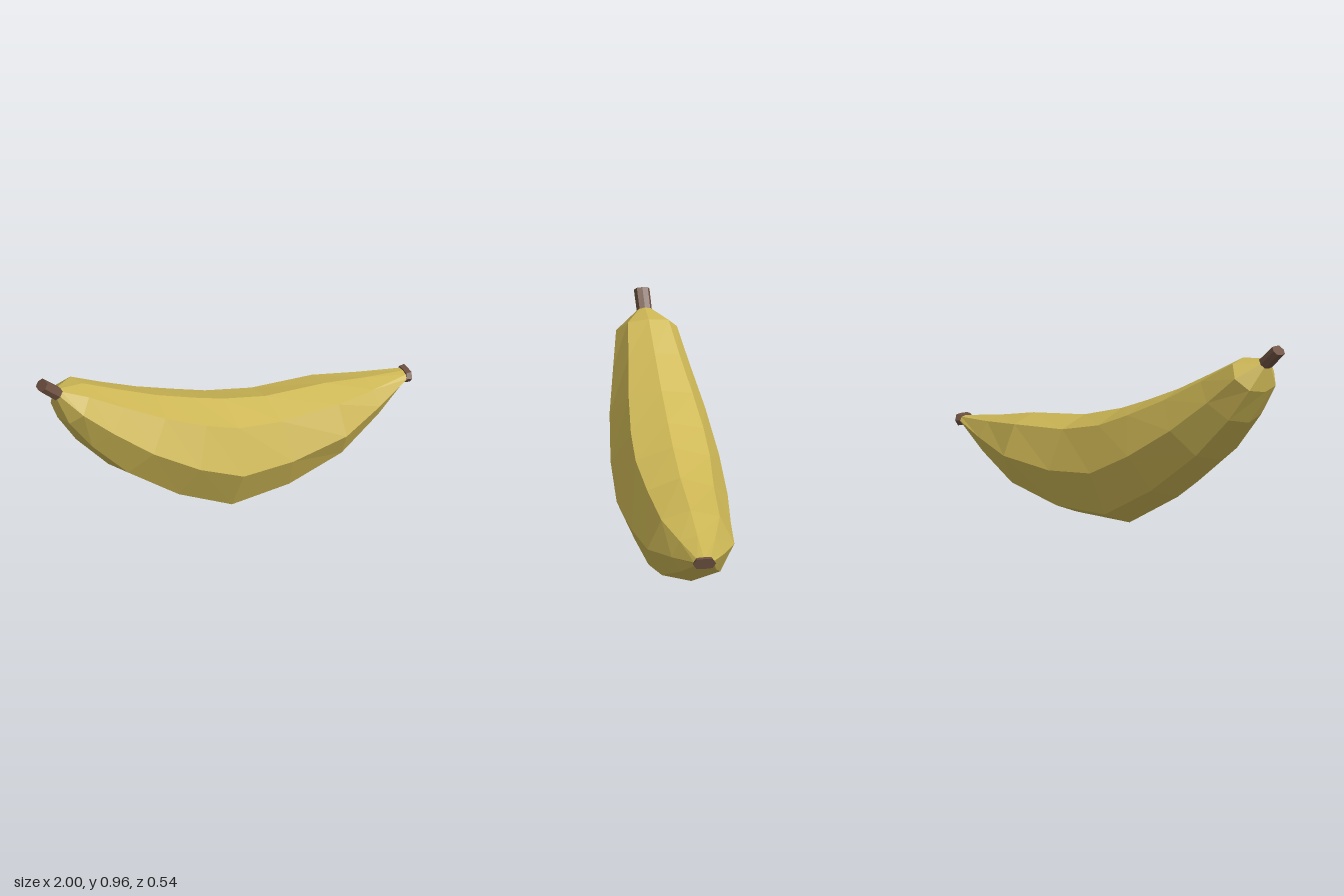
import * as THREE from 'three';

// Section: [top x, top y, bottom x, bottom y, half width]
const PEEL = [
  [-0.88, 0.893, -0.915, 0.85, 0.036],
  [-0.76, 0.885, -0.895, 0.73, 0.148],
  [-0.57, 0.79, -0.795, 0.57, 0.185],
  [-0.36, 0.69, -0.62, 0.37, 0.232],
  [-0.16, 0.612, -0.35, 0.16, 0.264],
  [0.0, 0.556, -0.05, 0.003, 0.27],
  [0.23, 0.5, 0.28, 0.02, 0.242],
  [0.55, 0.475, 0.57, 0.11, 0.212],
  [0.765, 0.44, 0.80, 0.25, 0.128],
  [0.975, 0.416, 0.965, 0.376, 0.048],
];
const STEM = [
  [-0.96, 0.963, -1.0, 0.922, 0.038],
  [-0.875, 0.89, -0.92, 0.848, 0.037],
];
const TIP = [
  [0.972, 0.422, 0.962, 0.371, 0.051],
  [0.998, 0.424, 0.988, 0.367, 0.056],
];

// Eight-sided ring; shoulder = drop of the upper corners, spread = their width
function ring([tx, ty, bx, by, w], shoulder, spread) {
  const drops = [0, shoulder, 0.51, 1 - shoulder, 1, 1 - shoulder, 0.51, shoulder];
  const sides = [0, spread, 1, spread, 0, -spread, -1, -spread];
  return drops.map((t, i) => new THREE.Vector3(tx + (bx - tx) * t, ty + (by - ty) * t, sides[i] * w));
}

// Faceted skin through the sections, closed at both ends
function loft(name, sections, shoulder, spread, material) {
  const rings = sections.map((s) => ring(s, shoulder, spread));
  const pos = [];
  const tri = (...pts) => pts.forEach((p) => pos.push(p.x, p.y, p.z));
  const last = rings.length - 1;
  const centre = (r) => r[0].clone().add(r[4]).multiplyScalar(0.5);
  const c0 = centre(rings[0]);
  const c1 = centre(rings[last]);
  for (let j = 0; j < 8; j++) {
    const k = (j + 1) % 8;
    for (let i = 0; i < last; i++) {
      const a = rings[i][j], b = rings[i + 1][j], c = rings[i + 1][k], d = rings[i][k];
      tri(a, d, c);
      tri(a, c, b);
    }
    tri(c0, rings[0][k], rings[0][j]);
    tri(c1, rings[last][j], rings[last][k]);
  }
  const geometry = new THREE.BufferGeometry();
  geometry.setAttribute('position', new THREE.Float32BufferAttribute(pos, 3));
  geometry.computeVertexNormals();
  const mesh = new THREE.Mesh(geometry, material);
  mesh.name = name;
  return mesh;
}

export function createModel() {
  const yellow = new THREE.MeshStandardMaterial({ color: 0xcdb755 });
  yellow.name = 'banana yellow';
  const brown = new THREE.MeshStandardMaterial({ color: 0x6f5242 });
  brown.name = 'stem brown';

  const group = new THREE.Group();
  group.name = 'banana';
  group.add(
    loft('peel', PEEL, 0.11, 0.67, yellow),
    loft('stem', STEM, 0.06, 0.7, brown),
    loft('blossomTip', TIP, 0.03, 0.7, brown),
  );
  return group;
}
